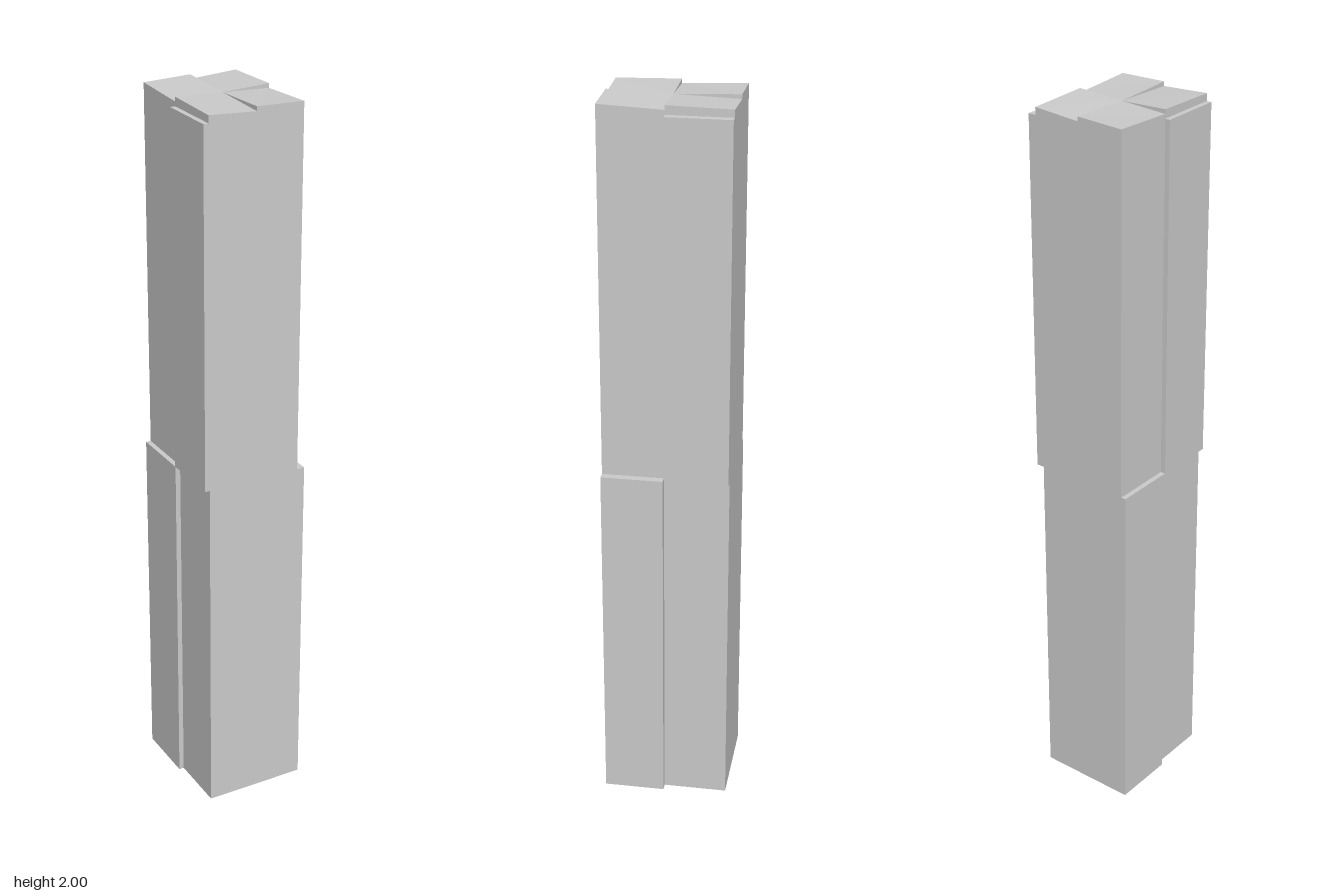
import * as THREE from 'three';

const MATERIAL = new THREE.MeshStandardMaterial({ color: 0xcccccc, flatShading: true });
const MID_X = -0.004;
const HALF_X = 0.133; // core half width
const HALF_Z = 0.1725;
const SPLIT_Y = 0.99; // height where the side panels change over

// Box between two corners
function box(name, x0, x1, y0, y1, z0, z1) {
  const geometry = new THREE.BoxGeometry(x1 - x0, y1 - y0, z1 - z0);
  geometry.translate((x0 + x1) / 2, (y0 + y1) / 2, (z0 + z1) / 2);
  const mesh = new THREE.Mesh(geometry, MATERIAL);
  mesh.name = name;
  return mesh;
}

// Quarter of the core; the top is tilted so the four quarters step like a pinwheel
function coreQuarter(name, sx, sz) {
  const xs = [MID_X, MID_X + sx * HALF_X].sort((a, b) => a - b);
  const zs = [0, sz * HALF_Z].sort((a, b) => a - b);
  const mesh = box(name, xs[0], xs[1], 0, 1.99, zs[0], zs[1]);
  const frontBackHigh = sx === sz; // which of the two mid edges is raised
  const p = mesh.geometry.attributes.position;
  for (let i = 0; i < p.count; i++) {
    if (p.getY(i) < 1) continue;
    const outerX = Math.abs(p.getX(i) - MID_X) > 0.01;
    const outerZ = Math.abs(p.getZ(i)) > 0.01;
    let y = 1.994; // centre
    if (outerX && outerZ) y = 1.996;
    else if (outerZ) y = frontBackHigh ? 2.0 : 1.988;
    else if (outerX) y = frontBackHigh ? 1.988 : 2.0;
    p.setY(i, y);
  }
  mesh.geometry.computeVertexNormals();
  return mesh;
}

export function createModel() {
  const model = new THREE.Group();
  model.name = 'column';

  // Core
  for (const [name, sx, sz] of [
    ['coreFrontLeft', 1, 1], ['coreFrontRight', -1, 1],
    ['coreBackLeft', 1, -1], ['coreBackRight', -1, -1],
  ]) model.add(coreQuarter(name, sx, sz));

  // Thin side panels, in alternating quarters above and below the split
  const inL = MID_X + HALF_X, inR = MID_X - HALF_X, out = 0.151, top = 1.976;
  model.add(
    box('upperPanelBackLeft', inL, out, SPLIT_Y, top, -HALF_Z, 0),
    box('upperPanelFrontRight', -out, inR, SPLIT_Y, top, 0, HALF_Z),
    box('lowerPanelFrontLeft', inL, out, 0, SPLIT_Y, 0.004, HALF_Z),
    box('lowerPanelBackRight', -out, inR, 0, SPLIT_Y, -HALF_Z, 0.004),
  );
  return model;
}
